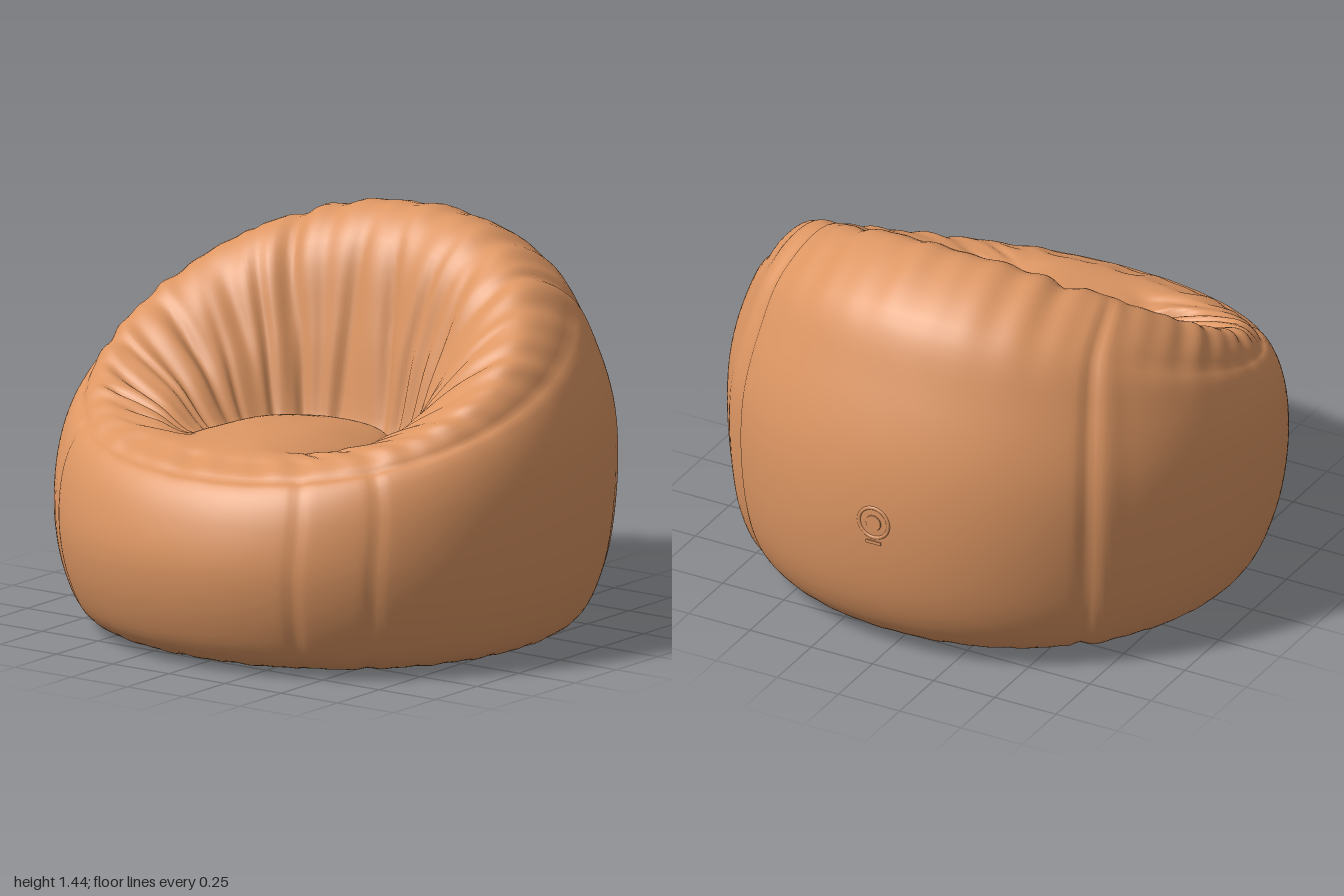
import * as THREE from 'three';

const COLS = 288, SUB = 6;

// Rings from the underside centre, up the outside, over the rim, down to the seat centre:
// [half width, front z, back z, front y, side y, back y, squareness]
const RINGS = [
  [0, 0, 0, 0.004, 0.004, 0.004, 1],
  [0.55, 0.53, -0.52, 0.006, 0.006, 0.008, 0.95],
  [0.78, 0.76, -0.74, 0.014, 0.014, 0.02, 0.95],
  [0.89, 0.88, -0.86, 0.06, 0.06, 0.075, 0.95],
  [0.957, 0.96, -0.94, 0.2, 0.2, 0.21, 0.95],
  [0.995, 1.0, -0.99, 0.4, 0.43, 0.5, 0.95],
  [0.995, 0.97, -0.975, 0.56, 0.7, 0.8, 0.95],
  [0.955, 0.92, -0.89, 0.66, 0.87, 1.08, 0.96],
  [0.905, 0.865, -0.765, 0.71, 0.96, 1.325, 0.97],
  [0.82, 0.77, -0.48, 0.75, 1.02, 1.443, 0.97],
  [0.69, 0.73, -0.32, 0.77, 0.97, 1.34, 0.92],
  [0.51, 0.69, -0.215, 0.78, 0.85, 1.02, 0.8],
  [0.345, 0.64, -0.13, 0.788, 0.7, 0.66, 0.62],
  [0.28, 0.57, -0.09, 0.795, 0.735, 0.72, 0.7],
  [0.15, 0.44, 0.06, 0.803, 0.785, 0.765, 0.9],
  [0, 0.28, 0.28, 0.8, 0.8, 0.8, 1],
];

function ringPoint([w, zf, zb, yf, ys, yb, p], a) {
  const s = Math.sin(a), c = Math.cos(a);
  const c2 = ((yf + yb) / 2 - ys) / 2;
  return new THREE.Vector3(
    w * Math.sign(s) * Math.abs(s) ** p,
    ys + c2 + (yf - yb) / 2 * c + c2 * Math.cos(2 * a),
    (zf + zb) / 2 + (zf - zb) / 2 * c);
}

const bell = (x, w) => Math.exp(-((x / w) ** 2));
const step = THREE.MathUtils.smoothstep;
const wrap = (a) => Math.atan2(Math.sin(a), Math.cos(a));

function seeded(seed) {
  return () => (seed = (seed * 16807) % 2147483647) / 2147483647;
}

// Gathered folds running down the inside of the arms and backrest
function makeFolds() {
  const rand = seeded(77), folds = [], count = 28;
  for (let i = 0; i < count; i++) {
    folds.push({
      a: 0.6 + (i + rand() * 0.8) / count * (2 * Math.PI - 1.2),
      w: 0.03 + rand() * 0.04,
      depth: 0.006 + rand() * 0.02,
      k: 9.9 + rand() * 1.5,
      len: 0.8 + rand() * 0.7,
      slant: (rand() - 0.5) * 0.1,
    });
  }
  return folds;
}

// Offset along the normal at angle a and ring position k
function relief(a, k, folds) {
  let d = 0;
  for (const f of folds) {
    const da = wrap(a - f.a - f.slant * (k - f.k));
    d += f.depth * bell(k - f.k, f.len) * (0.4 * bell(da - f.w * 2, f.w * 1.5) - bell(da, f.w));
  }
  // the seat panel stays smooth
  d *= 1 - step(k, 11.9, 12.7);
  // small lumps on the rim and puckers at the foot
  d += 0.0035 * bell(k - 8.9, 0.9) * (Math.sin(23 * a) + Math.sin(37 * a + 1));
  d += 0.0015 * bell(k - 2.4, 0.6) * (Math.sin(31 * a) + Math.sin(53 * a + 2));
  // upright panel seams
  const low = step(k, 1.4, 2.8);
  for (const s of [-0.77, 0.47, 0.77]) {
    d -= 0.008 * low * (1 - step(k, 7.6, 8.2)) * bell(wrap(a - s), 0.025);
  }
  for (const s of [-2.36, 2.36]) {
    const da = wrap(a - s) * Math.sign(s);
    d += low * (1 - step(k, 8.6, 9.8)) * (0.008 * bell(da + 0.07, 0.06) - 0.014 * bell(da, 0.03));
  }
  // rim seam, fading out behind the backrest, and underside seam
  d -= 0.008 * bell(k - 8, 0.2) * step(Math.cos(a), -0.75, -0.5);
  d -= 0.008 * bell(k - 1.5, 0.12);
  return d;
}

function bodyGeometry() {
  const rows = (RINGS.length - 1) * SUB;
  const pos = new Float32Array((rows + 1) * COLS * 3), index = [];
  for (let c = 0; c < COLS; c++) {
    const a = c / COLS * Math.PI * 2;
    const section = new THREE.CatmullRomCurve3(RINGS.map((r) => ringPoint(r, a)));
    for (let r = 0; r <= rows; r++) section.getPoint(r / rows).toArray(pos, (r * COLS + c) * 3);
  }
  for (let r = 0; r < rows; r++) {
    for (let c = 0; c < COLS; c++) {
      const n = (c + 1) % COLS, lo = r * COLS, hi = lo + COLS;
      if (r > 0) index.push(lo + c, lo + n, hi + c);
      if (r < rows - 1) index.push(lo + n, hi + n, hi + c);
    }
  }
  const geo = new THREE.BufferGeometry();
  geo.setAttribute('position', new THREE.BufferAttribute(pos, 3));
  geo.setIndex(index);
  geo.computeVertexNormals();

  // press folds and seams into the smooth cushion
  const normal = geo.attributes.normal, folds = makeFolds();
  for (let r = 1; r < rows; r++) {
    for (let c = 0; c < COLS; c++) {
      const i = r * COLS + c, d = relief(c / COLS * Math.PI * 2, r / SUB, folds);
      pos[i * 3] += normal.getX(i) * d;
      pos[i * 3 + 1] = Math.max(0, pos[i * 3 + 1] + normal.getY(i) * d);
      pos[i * 3 + 2] += normal.getZ(i) * d;
    }
  }
  geo.computeVertexNormals();
  return geo;
}

export function createModel() {
  const fabric = new THREE.MeshStandardMaterial({ color: 0xdd9663 });
  fabric.name = 'tan fabric';
  const model = new THREE.Group();
  model.name = 'beanbagChair';

  const add = (parent, name, geo, x = 0, y = 0, z = 0) => {
    const mesh = new THREE.Mesh(geo, fabric);
    mesh.name = name;
    mesh.position.set(x, y, z);
    parent.add(mesh);
    return mesh;
  };

  add(model, 'cushionBody', bodyGeometry());

  // Air valve low on the back
  const valve = new THREE.Group();
  valve.name = 'valve';
  valve.position.set(0, 0.58, -0.988);
  valve.rotation.y = Math.PI;
  add(valve, 'valveRing', new THREE.TorusGeometry(0.06, 0.008, 8, 24));
  add(valve, 'valvePlug', new THREE.CylinderGeometry(0.03, 0.034, 0.016, 20)).rotation.x = Math.PI / 2;
  add(valve, 'valveTab', new THREE.BoxGeometry(0.06, 0.012, 0.014), 0, -0.08, 0);
  model.add(valve);

  return model;
}
